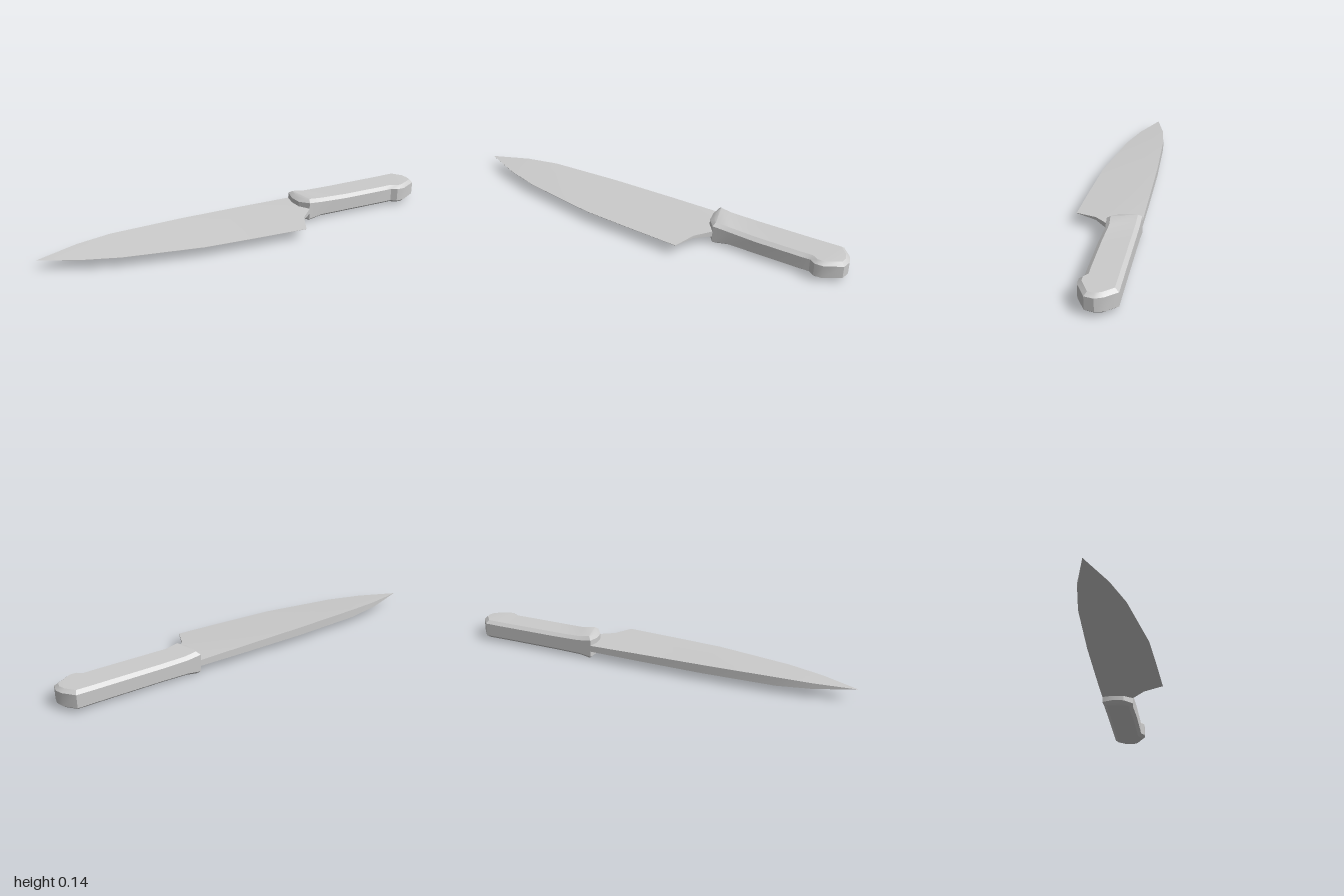
import * as THREE from 'three';
import { toCreasedNormals } from 'three/addons/utils/BufferGeometryUtils.js';

const MID = 0.0715; // height of the knife's middle plane

// Shell from a grid of [x, z, half thickness]: rows run tip to butt, columns spine to edge.
// bevel = [inset, drop] chamfers the rim of both faces.
function shell(rows, bevel = [0, 0]) {
  const pos = [];
  const tri = (a, b, c) => {
    const area = new THREE.Triangle(a, b, c).getArea();
    if (area > 1e-8) for (const p of [a, b, c]) pos.push(p.x, p.y, p.z);
  };
  const quad = (a, b, c, d) => { tri(a, b, c); tri(a, c, d); };

  // outline of the grid: spine, last row, edge back to the front, first row
  const n = rows.length - 1, m = rows[0].length - 1, ring = [];
  for (let i = 0; i < n; i++) ring.push([i, 0]);
  for (let j = 0; j < m; j++) ring.push([n, j]);
  for (let i = n; i > 0; i--) ring.push([i, m]);
  for (let j = m; j > 0; j--) ring.push([0, j]);

  // face points, inset along the mitred outline where bevelled
  const face = rows.map(r => r.map(([x, z]) => [x, z]));
  if (bevel[0]) {
    const at = k => { const [i, j] = ring[(k + ring.length) % ring.length]; return rows[i][j]; };
    const inward = (a, b) => new THREE.Vector2(a[1] - b[1], b[0] - a[0]).normalize();
    ring.forEach(([i, j], k) => {
      const n1 = inward(at(k - 1), at(k)), n2 = inward(at(k), at(k + 1));
      const s = bevel[0] / (1 + n1.dot(n2));
      face[i][j][0] += (n1.x + n2.x) * s;
      face[i][j][1] += (n1.y + n2.y) * s;
    });
  }
  const cap = (i, j, s) => new THREE.Vector3(face[i][j][0], MID + s * rows[i][j][2], face[i][j][1]);
  const rim = (i, j, s) => new THREE.Vector3(rows[i][j][0], MID + s * (rows[i][j][2] - bevel[1]), rows[i][j][1]);

  // upper and lower faces
  for (let i = 0; i < n; i++) for (let j = 0; j < m; j++) {
    const corners = [[i, j], [i, j + 1], [i + 1, j + 1], [i + 1, j]];
    quad(...corners.map(([a, b]) => cap(a, b, 1)));
    quad(...corners.reverse().map(([a, b]) => cap(a, b, -1)));
  }
  // chamfers and side walls
  ring.forEach((p, k) => {
    const q = ring[(k + 1) % ring.length];
    const levels = [[cap, 1], [rim, 1], [rim, -1], [cap, -1]];
    for (let l = 0; l < 3; l++) {
      const [f, s] = levels[l], [g, t] = levels[l + 1];
      quad(f(...p, s), f(...q, s), g(...q, t), g(...p, t));
    }
  });
  const geo = new THREE.BufferGeometry();
  geo.setAttribute('position', new THREE.Float32BufferAttribute(pos, 3));
  return toCreasedNormals(geo, 0.5);
}

export function createModel() {
  const group = new THREE.Group();
  group.name = 'kitchenKnife';
  const material = new THREE.MeshStandardMaterial({ color: 0xcccccc });
  const add = (name, geo) => {
    const mesh = new THREE.Mesh(geo, material);
    mesh.name = name;
    group.add(mesh);
  };

  // blade: spine x, z, cutting edge x, z, half thickness of the spine
  const stations = [
    [-1, 0.73, -1, 0.73, 0],
    [-0.84, 0.54, -0.76, 0.68, 0.017],
    [-0.69, 0.40, -0.55, 0.61, 0.026],
    [-0.34, 0.13, -0.13, 0.41, 0.026],
    [-0.01, -0.11, 0.13, 0.25, 0.023],
  ];
  const blade = stations.map(([sx, sz, ex, ez, h]) => [0, 0.33, 0.66, 1].map(t => [
    sx + (ex - sx) * t, sz + (ez - sz) * t, Math.min(h, 0.001 + h * (1 - t)),
  ]));
  // curved heel, running into the handle
  blade.push([[0.24, -0.29, 0.019], [0.39, -0.16, 0.017], [0.37, -0.05, 0.009], [0.40, 0.08, 0.001]]);
  add('blade', shell(blade));

  // handle: spine side x, z, belly side x, z, half thickness
  const handle = [
    [0.27, -0.23, 0.32, -0.18, 0.066],
    [0.24, -0.29, 0.39, -0.16, 0.0715],
    [0.31, -0.34, 0.46, -0.22, 0.06],
    [0.44, -0.432, 0.60, -0.31, 0.057],
    [0.70, -0.616, 0.83, -0.47, 0.057],
    [0.76, -0.659, 0.87, -0.50, 0.057],
    [0.86, -0.73, 0.91, -0.50, 0.058],
    [0.94, -0.71, 0.95, -0.53, 0.058],
    [0.98, -0.68, 1.0, -0.63, 0.056],
  ].map(([sx, sz, bx, bz, h]) => [[sx, sz, h], [bx, bz, h]]);
  add('handle', shell(handle, [0.022, 0.018]));
  return group;
}
